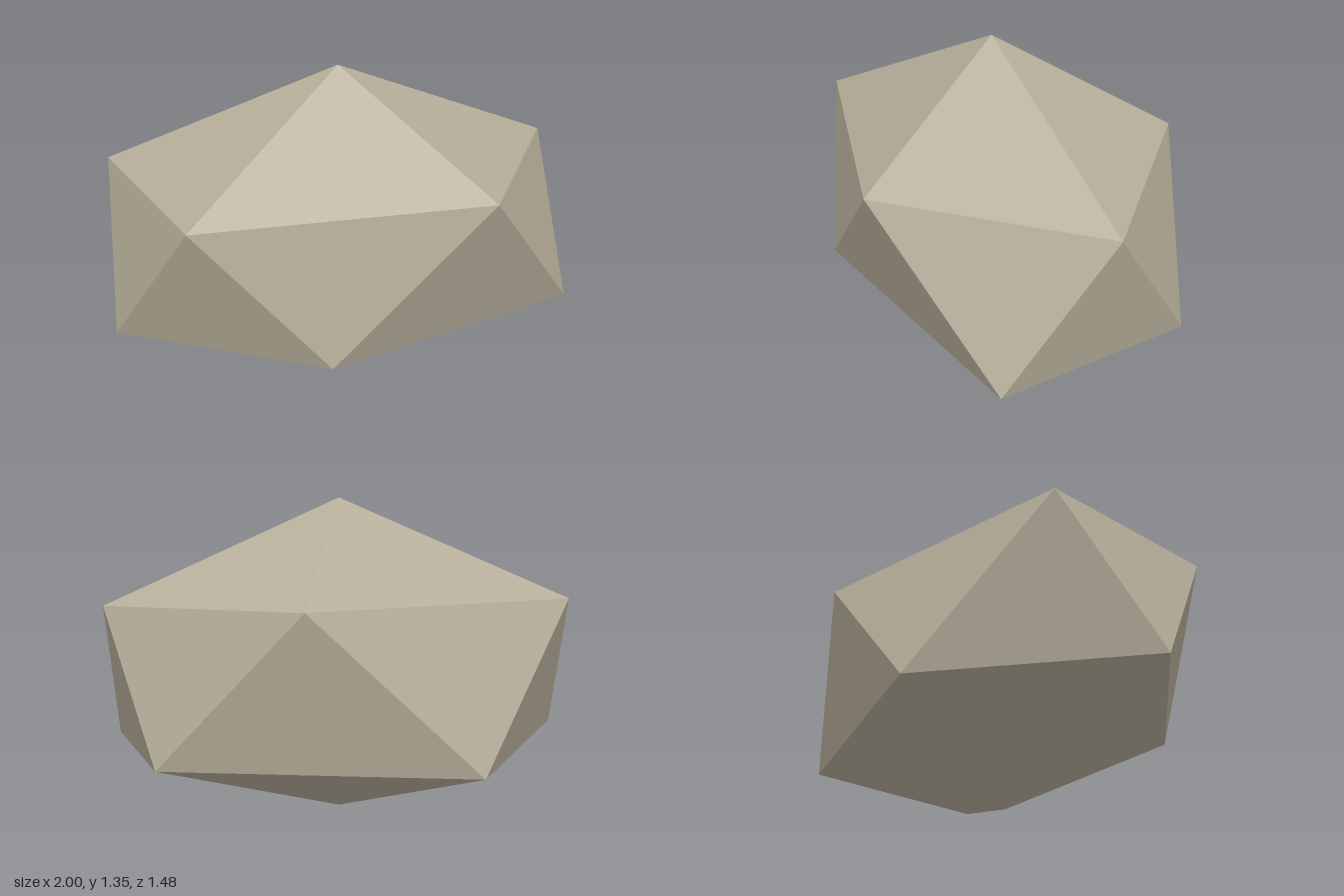
import * as THREE from 'three';

export function createModel() {
  const group = new THREE.Group();
  group.name = 'boulder';
  const stone = new THREE.MeshStandardMaterial({ color: 0xb5ad99, flatShading: true });
  stone.name = 'warm grey stone';

  // Two staggered rings of five corners between a top and a bottom point
  const top = [0, 1.345, 0.015];
  const bottom = [0, 0, 0.015];
  const upper = [
    [1, 0.91, 0.015], [0.345, 0.95, 0.74], [-0.8, 0.905, 0.4],
    [-0.875, 0.93, -0.41], [0.325, 0.93, -0.66],
  ];
  const lower = [
    [0.9, 0.292, 0.455], [-0.31, 0.33, 0.64], [-1, 0.328, 0.01],
    [-0.375, 0.27, -0.74], [0.855, 0.305, -0.4],
  ];

  // Cap, band and underside facets
  const points = [];
  for (let i = 0; i < 5; i++) {
    const j = (i + 1) % 5;
    points.push(
      top, upper[j], upper[i],
      upper[i], upper[j], lower[i],
      lower[j], lower[i], upper[j],
      bottom, lower[i], lower[j],
    );
  }
  const geometry = new THREE.BufferGeometry();
  geometry.setAttribute('position', new THREE.Float32BufferAttribute(points.flat(), 3));
  geometry.computeVertexNormals();

  const rock = new THREE.Mesh(geometry, stone);
  rock.name = 'rock';
  group.add(rock);
  return group;
}
